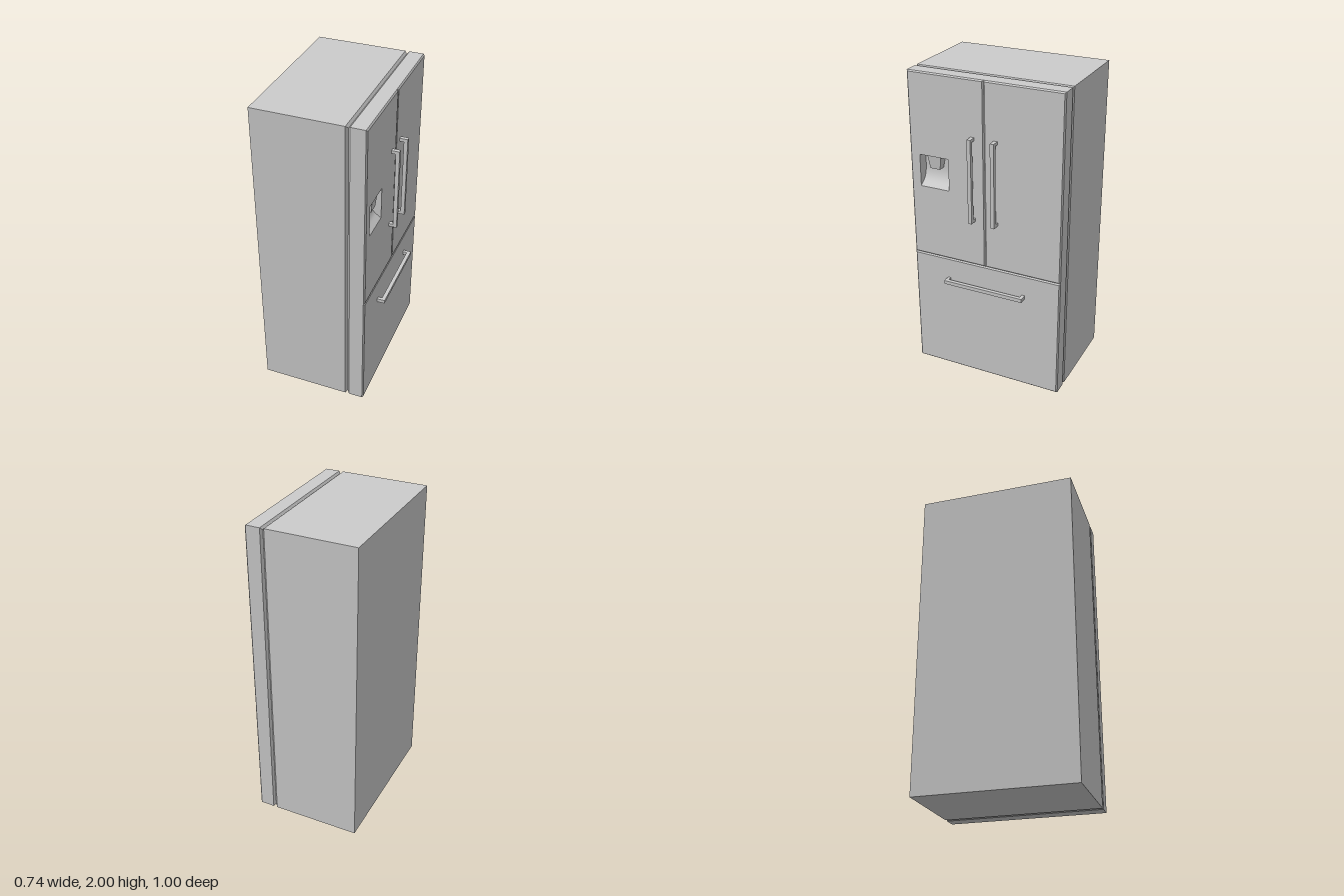
import * as THREE from 'three';
import { toCreasedNormals } from 'three/addons/utils/BufferGeometryUtils.js';

const steel = new THREE.MeshStandardMaterial({ color: 0xcccccc });

function mesh(name, geometry, material = steel) {
  const m = new THREE.Mesh(geometry, material);
  m.name = name;
  return m;
}

function polygon(points) {
  return new THREE.Shape(points.map(([x, y]) => new THREE.Vector2(x, y)));
}

function rectangle(u0, u1, v0, v1) {
  return polygon([[u0, v0], [u1, v0], [u1, v1], [u0, v1]]);
}

// Slab extruded along local z, with its far outer edge chamfered by c.
function panelGeometry(u0, u1, v0, v1, depth, c, hole) {
  const shape = rectangle(u0, u1, v0, v1);
  if (hole) shape.holes.push(hole);
  const geo = new THREE.ExtrudeGeometry(shape, { depth, steps: 2, bevelEnabled: false });
  const p = geo.attributes.position;
  const near = (a, b) => Math.abs(a - b) < 1e-5;
  for (let i = 0; i < p.count; i++) {
    const x = p.getX(i), y = p.getY(i), z = p.getZ(i);
    if (near(z, depth / 2)) p.setZ(i, depth - c);
    if (near(z, depth)) {
      if (near(x, u0)) p.setX(i, u0 + c);
      if (near(x, u1)) p.setX(i, u1 - c);
      if (near(y, v0)) p.setY(i, v0 + c);
      if (near(y, v1)) p.setY(i, v1 - c);
    }
  }
  geo.computeVertexNormals();
  return geo;
}

// Panel whose chamfered face looks along +x; z0..z1 is its width.
function panel(name, x0, x1, y0, y1, z0, z1, c, hole) {
  const m = mesh(name, panelGeometry(-z1, -z0, y0, y1, x1 - x0, c, hole).rotateY(Math.PI / 2));
  m.position.x = x0;
  return m;
}

// Square bar on two posts, centred on the origin, standing out along +x.
function handleGeometry(length, width) {
  const h = length / 2, out = 0.05, bar = 0.024, post = 0.02;
  const shape = polygon([
    [0, -h], [out, -h], [out, h], [0, h],
    [0, h - post], [out - bar, h - post], [out - bar, post - h], [0, post - h],
  ]);
  return new THREE.ExtrudeGeometry(shape, { depth: width, bevelEnabled: false })
    .translate(0, 0, -width / 2);
}

export function createModel() {
  const fridge = new THREE.Group();
  fridge.name = 'refrigerator';
  const back = 0.223, front = 0.32, split = 0.805, bevel = 0.008;

  // Cabinet and the flared door seal, which form a V groove between them
  fridge.add(panel('cabinet', -0.37, 0.21, 0, 2, -0.5, 0.5, 0.014));
  const seal = mesh('doorSeal', panelGeometry(-0.5, 0.5, 0, 2, 0.0135, 0.013).rotateY(-Math.PI / 2));
  seal.position.x = back;
  fridge.add(seal);

  // Doors and drawer
  const recess = { z0: 0.24, z1: 0.435, y0: 1.275, y1: 1.482 };
  const opening = rectangle(-recess.z1, -recess.z0, recess.y0, recess.y1);
  fridge.add(
    panel('dispenserDoor', back, front, split, 2, 0, 0.5, bevel, opening),
    panel('plainDoor', back, front, split, 2, -0.5, 0, bevel),
    panel('freezerDrawer', back, front, 0, split, -0.5, 0.5, bevel),
  );

  // Dispenser back wall, curving forward to the bottom of the opening
  const wall = new THREE.Shape();
  wall.moveTo(back, recess.y0);
  wall.lineTo(front, recess.y0);
  wall.lineTo(0.295, 1.292);
  wall.quadraticCurveTo(0.25, 1.32, 0.25, 1.4);
  wall.lineTo(0.25, recess.y1);
  wall.lineTo(back, recess.y1);
  const wallGeo = new THREE.ExtrudeGeometry(wall, {
    depth: recess.z1 - recess.z0, bevelEnabled: false, curveSegments: 12,
  });
  const liner = mesh('dispenserBackWall', toCreasedNormals(wallGeo, 0.5));
  liner.position.z = recess.z0;
  fridge.add(liner);

  // Tapered, open-bottomed dispenser spout
  const spoutMaterial = new THREE.MeshStandardMaterial({
    color: 0xcccccc, flatShading: true, side: THREE.DoubleSide,
  });
  const spoutGeo = new THREE.CylinderGeometry(0.046 * Math.SQRT2, 0.033 * Math.SQRT2, 0.085, 4, 1, true)
    .rotateY(Math.PI / 4)
    .scale(0.68, 1, 1);
  const spout = mesh('dispenserSpout', spoutGeo, spoutMaterial);
  spout.position.set(0.282, 1.4395, 0.34);
  fridge.add(spout);

  // Handles
  for (const side of [1, -1]) {
    const handle = mesh(side > 0 ? 'dispenserDoorHandle' : 'plainDoorHandle', handleGeometry(0.54, 0.024));
    handle.position.set(front, 1.38, side * 0.075);
    fridge.add(handle);
  }
  const drawerHandle = mesh('drawerHandle', handleGeometry(0.536, 0.024).rotateX(Math.PI / 2));
  drawerHandle.position.set(front, 0.655, 0);
  fridge.add(drawerHandle);

  return fridge;
}
